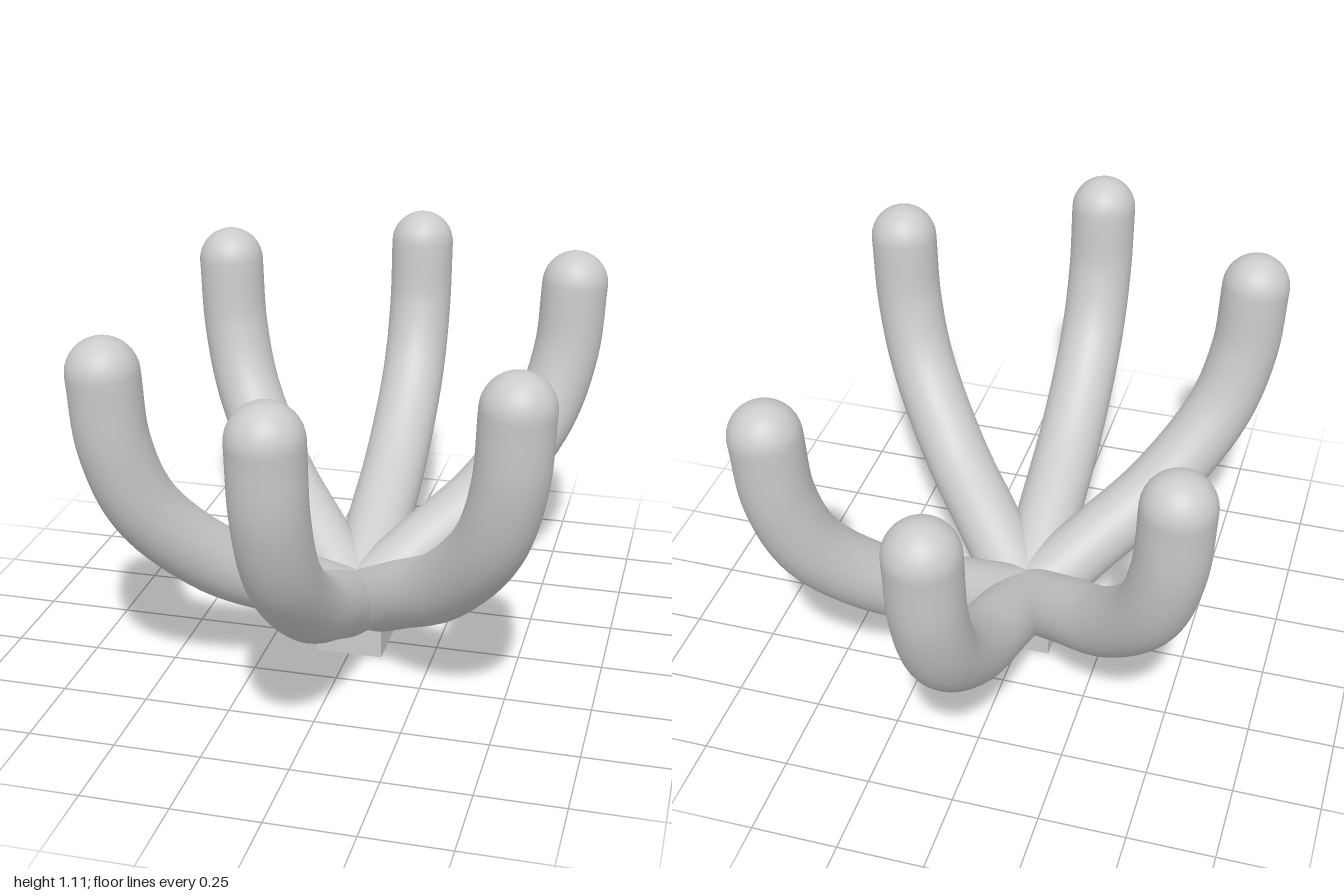
import * as THREE from 'three';

const RADIUS = 0.1;   // arm thickness
const FLOOR = 0.12;   // height of the flat underside of the arms
const SIDES = 40;

const grey = new THREE.MeshStandardMaterial({ color: 0xcccccc });
const greySheet = new THREE.MeshStandardMaterial({ color: 0xcccccc, side: THREE.DoubleSide });

function meshFrom(points, index, material, name) {
  const geometry = new THREE.BufferGeometry().setFromPoints(points);
  geometry.setIndex(index);
  geometry.computeVertexNormals();
  const mesh = new THREE.Mesh(geometry, material);
  mesh.name = name;
  return mesh;
}

// One upswept arm: trimmed root, curved tube, rounded tip
function makeArm(angle, reach) {
  const out = new THREE.Vector3(Math.sin(angle), 0, Math.cos(angle));
  const side = new THREE.Vector3(Math.cos(angle), 0, -Math.sin(angle));
  const up = new THREE.Vector3(0, 1, 0);

  // Centre line: share of the reach, height
  const line = new THREE.CatmullRomCurve3(
    [[0, 0.12], [0.3, 0.253], [0.6, 0.388], [0.87, 0.6], [0.973, 0.8], [1, 1.01]]
      .map(([f, y]) => out.clone().multiplyScalar(f * reach).setY(y)));

  const ringAt = (u, radius, lift) => {
    const centre = line.getPoint(u);
    const tangent = line.getTangent(u);
    const normal = out.clone().multiplyScalar(-tangent.y).addScaledVector(up, tangent.dot(out));
    centre.addScaledVector(tangent, lift);
    return Array.from({ length: SIDES }, (_, j) => {
      const a = (j / SIDES) * Math.PI * 2;
      return centre.clone()
        .addScaledVector(side, radius * Math.cos(a))
        .addScaledVector(normal, radius * Math.sin(a));
    });
  };

  const rings = [];

  // Straight root, each line slid back to the floor plane or the z = 0 plane
  const joint = ringAt(0.2, RADIUS, 0);
  const dir = line.getTangent(0.2);
  const root = joint.map((p) => {
    const t = Math.min(0, Math.max((FLOOR - p.y) / dir.y, -p.z / dir.z));
    return p.clone().addScaledVector(dir, t);
  });
  for (let i = 0; i < 4; i++) rings.push(root.map((p, j) => p.clone().lerp(joint[j], i / 4)));

  // Curved length
  for (let i = 0; i <= 32; i++) rings.push(ringAt(0.2 + 0.8 * (i / 32), RADIUS, 0));

  // Hemispherical tip
  for (let i = 1; i <= 10; i++) {
    const a = (i / 10) * Math.PI / 2;
    rings.push(ringAt(1, Math.max(RADIUS * Math.cos(a), 0.0005), RADIUS * Math.sin(a)));
  }

  const index = [];
  for (let i = 0; i < rings.length - 1; i++) {
    for (let j = 0; j < SIDES; j++) {
      const k = (j + 1) % SIDES;
      const a = i * SIDES + j, b = i * SIDES + k;
      index.push(a, b, b + SIDES, a, b + SIDES, a + SIDES);
    }
  }

  // Flat underside, fanned from the middle of the hub
  const fan = [];
  for (let j = 0; j < SIDES; j++) {
    const p = root[j], q = root[(j + 1) % SIDES];
    if (Math.min(p.y, q.y) < FLOOR + 1e-4) fan.push(new THREE.Vector3(0, FLOOR, 0), q, p);
  }

  const arm = new THREE.Group();
  arm.add(meshFrom(rings.flat(), index, grey, 'armTube'));
  arm.add(meshFrom(fan, fan.map((_, i) => i), greySheet, 'armUnderside'));
  return arm;
}

export function createModel() {
  const model = new THREE.Group();
  model.name = 'sixArmedHolder';

  // Square foot
  const foot = new THREE.Mesh(new THREE.BoxGeometry(0.2, FLOOR, 0.2), grey);
  foot.name = 'foot';
  foot.position.y = FLOOR / 2;
  model.add(foot);

  // Long arms front and back, shorter ones on the diagonals
  const arms = [['frontArm', 0], ['frontLeftArm', 45], ['backLeftArm', 135],
    ['backArm', 180], ['backRightArm', 225], ['frontRightArm', 315]];
  for (const [name, degrees] of arms) {
    const reach = degrees % 90 === 0 ? 0.9 : 0.55 * Math.SQRT2;
    const arm = makeArm(THREE.MathUtils.degToRad(degrees), reach);
    arm.name = name;
    model.add(arm);
  }
  return model;
}
